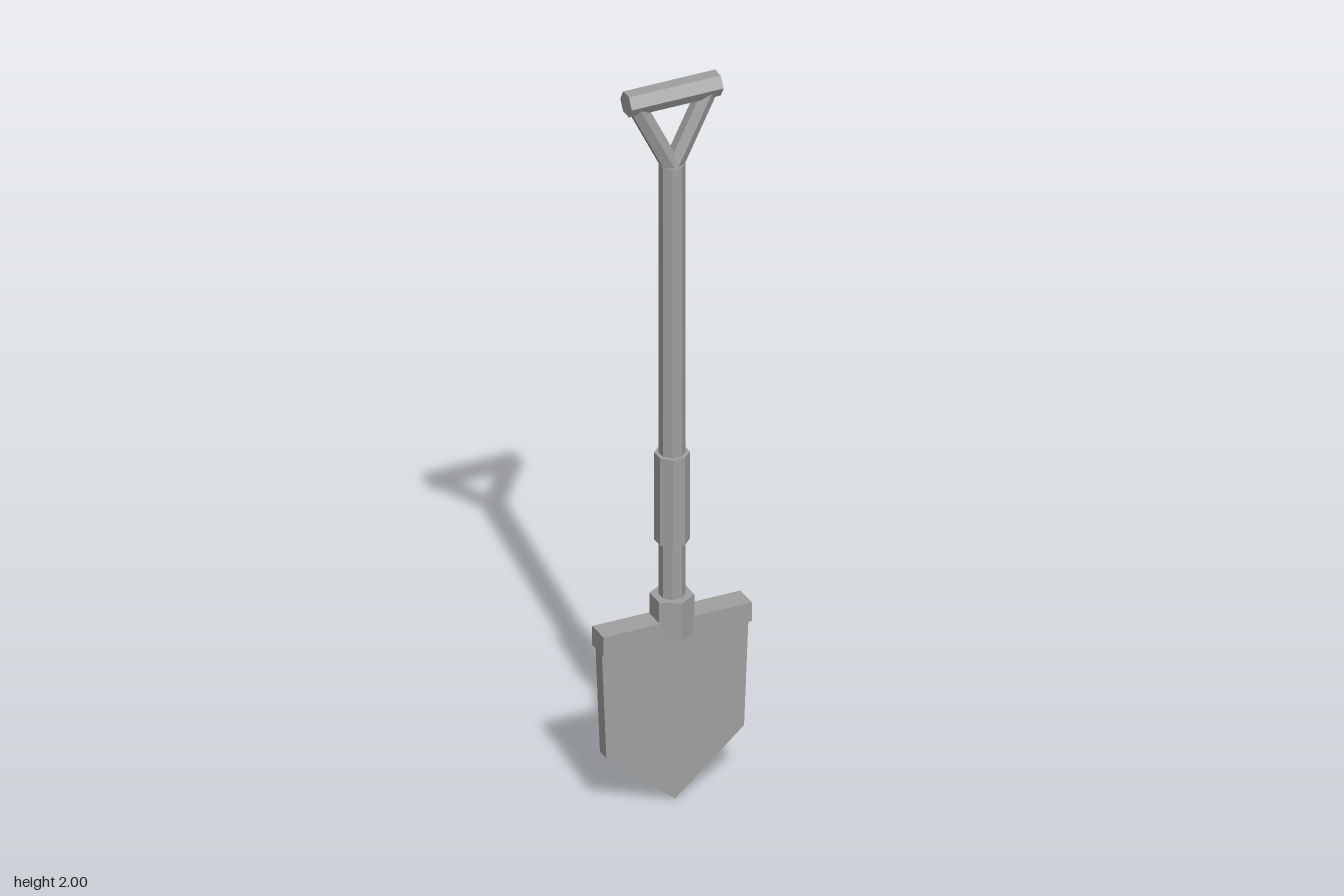
import * as THREE from 'three';

export function createModel() {
  const group = new THREE.Group();
  const steel = new THREE.MeshStandardMaterial({ color: 0xa0a0a0, flatShading: true });
  steel.name = 'grey steel';

  const add = (name, geometry) => {
    const mesh = new THREE.Mesh(geometry, steel);
    mesh.name = name;
    group.add(mesh);
    return mesh;
  };

  // Faceted prism between two heights; radius reaches the corners
  const prism = (name, radius, y0, y1, sides, turn = 0) => {
    const geometry = new THREE.CylinderGeometry(radius, radius, y1 - y0, sides);
    geometry.rotateY(turn);
    return add(name, geometry.translate(0, (y0 + y1) / 2, 0));
  };

  // Octagonal shaft and sleeve with flats facing front, hexagonal socket
  const flat = 1 / Math.cos(Math.PI / 8);
  prism('shaft', 0.03 * flat, 0.5, 1.775, 8, Math.PI / 8);
  prism('sleeve', 0.04 * flat, 0.72, 0.965, 8, Math.PI / 8);
  prism('socket', 0.055, 0.46, 0.567, 6);

  // Foot tread across the top of the blade
  add('tread', new THREE.BoxGeometry(0.4, 0.053, 0.064).translate(0, 0.4825, 0));

  // Pointed blade
  const outline = new THREE.Shape([
    [0, 0], [0.186, 0.16], [0.198, 0.46], [-0.198, 0.46], [-0.186, 0.16],
  ].map(([x, y]) => new THREE.Vector2(x, y)));
  add('blade', new THREE.ExtrudeGeometry(outline, { depth: 0.036, bevelEnabled: false })
    .translate(0, 0, -0.018));

  // Forked struts rising to the grip
  const up = new THREE.Vector3(0, 1, 0);
  for (const side of [1, -1]) {
    const from = new THREE.Vector3(0, 1.765, 0);
    const to = new THREE.Vector3(side * 0.095, 1.958, 0);
    const along = to.clone().sub(from);
    const strut = add(side > 0 ? 'leftStrut' : 'rightStrut',
      new THREE.CylinderGeometry(0.025, 0.025, along.length(), 6));
    strut.position.copy(from).add(to).multiplyScalar(0.5);
    strut.quaternion.setFromUnitVectors(up, along.normalize());
  }

  // Hexagonal grip, flat on top
  add('grip', new THREE.CylinderGeometry(0.0325, 0.0325, 0.248, 6)
    .rotateZ(Math.PI / 2).translate(0, 1.972, 0));

  return group;
}
